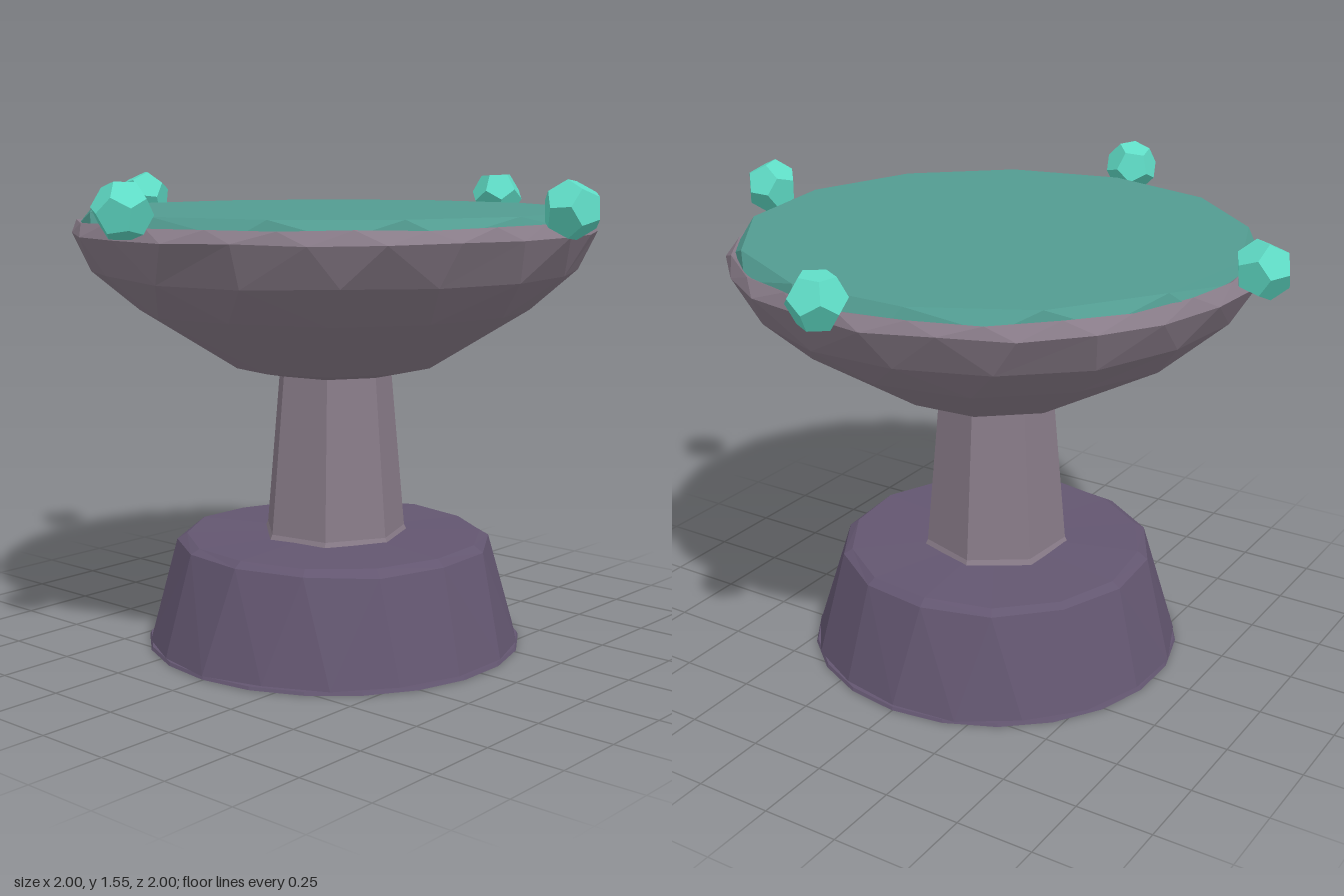
import * as THREE from 'three';

// Small seeded generator for hand-hewn irregularity
function seeded(seed) {
  return () => {
    seed = (seed * 16807) % 2147483647;
    return seed / 2147483647 - 0.5;
  };
}

// Joins rings [radius, y, sides, turn in degrees], bottom to top, into a faceted skin.
// Neighbouring rings may have different numbers of sides; one side makes a point.
function hewn(rings, rough = 0, seed = 7) {
  const rand = seeded(seed);
  const loops = rings.map(([r, y, n, turn = 0]) => {
    const points = [], angles = [];
    for (let i = 0; i < n; i++) {
      const angle = THREE.MathUtils.degToRad(turn) + (i / n) * Math.PI * 2;
      const radius = r * (1 + rand() * rough);
      points.push([Math.sin(angle) * radius, y + (r ? rand() * rough * 0.5 : 0), Math.cos(angle) * radius]);
      angles.push(angle);
    }
    angles.push(angles[0] + Math.PI * 2);
    return { n, points, angles };
  });
  const positions = [];
  for (let k = 0; k + 1 < loops.length; k++) {
    const a = loops[k], b = loops[k + 1];
    let i = a.n === 1 ? 1 : 0, j = b.n === 1 ? 1 : 0;
    while (i < a.n || j < b.n) {
      const pa = a.points[i % a.n], pb = b.points[j % b.n];
      if (i < a.n && (j >= b.n || a.angles[i + 1] <= b.angles[j + 1])) {
        i++;
        positions.push(...pa, ...a.points[i % a.n], ...pb);
      } else {
        j++;
        positions.push(...pa, ...b.points[j % b.n], ...pb);
      }
    }
  }
  const geometry = new THREE.BufferGeometry();
  geometry.setAttribute('position', new THREE.Float32BufferAttribute(positions, 3));
  geometry.computeVertexNormals();
  return geometry;
}

function material(name, color) {
  const m = new THREE.MeshStandardMaterial({ color, flatShading: true });
  m.name = name;
  return m;
}

export function createModel() {
  const group = new THREE.Group();
  const stone = material('paleStone', 0x887b88);
  const darkStone = material('darkStone', 0x635670);
  const waterTeal = material('waterTeal', 0x529c91);
  const gemTeal = material('gemTeal', 0x5fdcc6);

  const add = (name, geometry, mat) => {
    const mesh = new THREE.Mesh(geometry, mat);
    mesh.name = name;
    group.add(mesh);
    return mesh;
  };

  // Tapered plinth with a chipped foot and a worn top edge
  add('foot', hewn([[0, 0, 1], [0.625, 0.002, 22], [0.62, 0.012, 22], [0, 0.012, 1]]), darkStone);
  add('plinth', hewn([
    [0, 0.008, 1], [0.62, 0.015, 18], [0.525, 0.34, 14, 5], [0.495, 0.36, 14, 5], [0, 0.368, 1],
  ], 0.02), darkStone);

  // Seven-sided column
  add('column', hewn([
    [0, 0.34, 1], [0.25, 0.355, 7, -17], [0.238, 0.38, 7, -17], [0.19, 0.92, 7, -17], [0, 0.93, 1],
  ]), stone);

  // Faceted bowl with a narrow rim and a shallow inside
  add('bowl', hewn([
    [0, 0.9, 1], [0.18, 0.9, 7, -17], [0.32, 0.925, 9], [0.64, 1.12, 13, 12], [0.785, 1.245, 17],
    [0.853, 1.37, 24, 6], [0.825, 1.41, 24], [0.78, 1.385, 24], [0, 1.37, 1],
  ], 0.022, 31), stone);

  // Water disc
  add('water', hewn([
    [0, 1.375, 1], [0.83, 1.385, 17], [0.805, 1.44, 13], [0, 1.44, 1],
  ]), waterTeal);

  // Four gems around the rim
  for (let i = 0; i < 4; i++) {
    const angle = (i * Math.PI) / 2;
    const gem = add('gem', new THREE.DodecahedronGeometry(0.091), gemTeal);
    gem.position.set(Math.sin(angle) * 0.912, 1.46, Math.cos(angle) * 0.912);
    gem.rotation.set(0.4 + i * 0.7, i * 1.1, 0.3 + i * 0.5);
  }
  return group;
}
